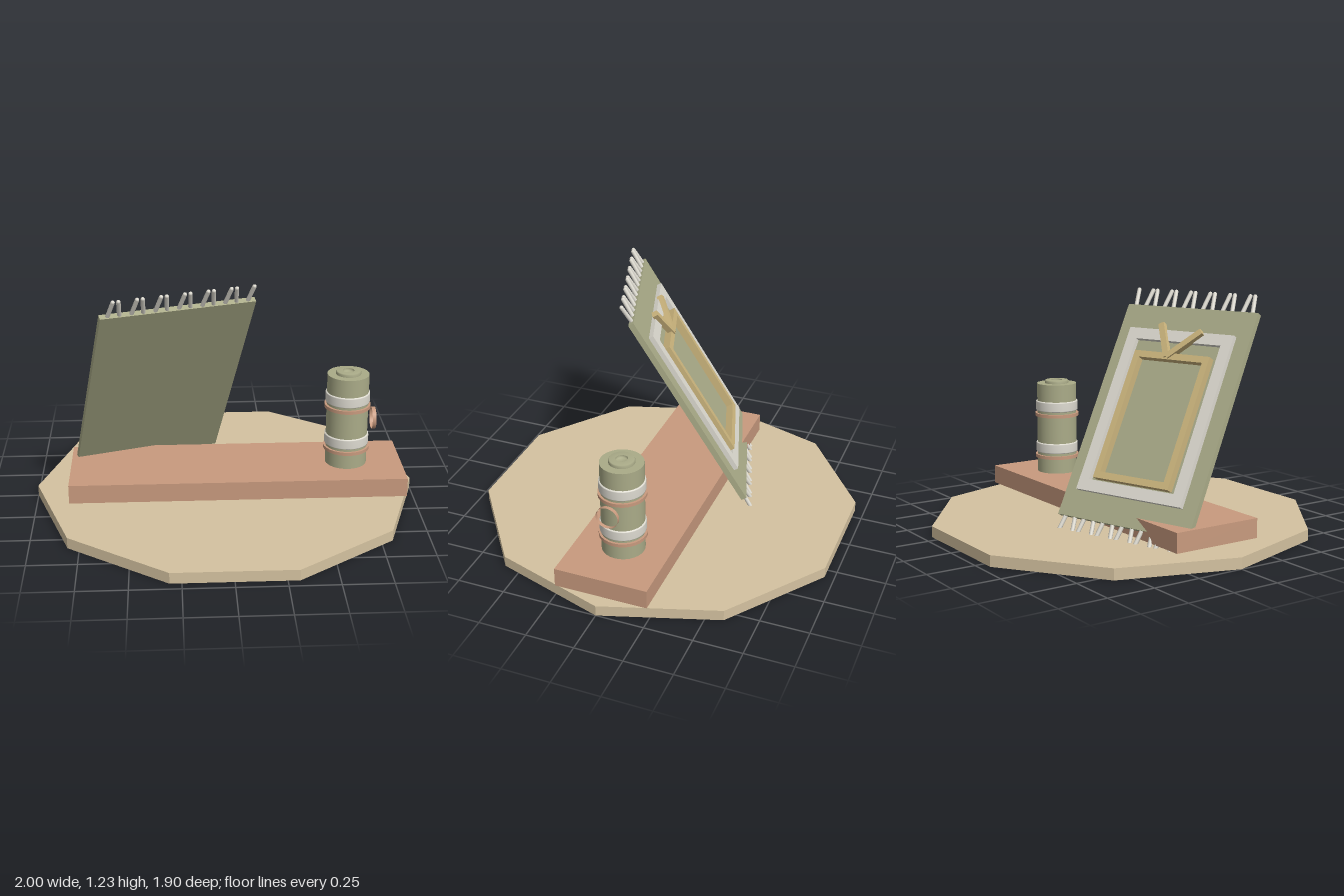
import * as THREE from 'three';

const mat = (color, extra = {}) => new THREE.MeshStandardMaterial({ color, ...extra });
const SAND = mat(0xd4c2a0, { flatShading: true });
const CLAY = mat(0xc89a7e);
const OLIVE = mat(0xaaab88);
const IVORY = mat(0xdddad0);
const STRAW = mat(0xcdb67e);
const CLAY_THIN = mat(0xc89a7e, { side: THREE.DoubleSide });

function add(parent, name, geometry, material, x = 0, y = 0, z = 0) {
  const mesh = new THREE.Mesh(geometry, material);
  mesh.name = name;
  mesh.position.set(x, y, z);
  parent.add(mesh);
  return mesh;
}

function group(parent, name) {
  const g = new THREE.Group();
  g.name = name;
  parent.add(g);
  return g;
}

const lathe = (points, sides = 28) =>
  new THREE.LatheGeometry(points.map(([r, y]) => new THREE.Vector2(r, y)), sides);

// Rectangular frame with an open middle, extruded along z from 0 to depth
function frameGeometry(w, h, border, depth) {
  const rect = (path, a, b) => path.moveTo(-a, -b).lineTo(a, -b).lineTo(a, b).lineTo(-a, b).closePath();
  const shape = rect(new THREE.Shape(), w / 2, h / 2);
  shape.holes.push(rect(new THREE.Path(), w / 2 - border, h / 2 - border));
  return new THREE.ExtrudeGeometry(shape, { depth, bevelEnabled: false });
}

function buildPanel(parent) {
  const W = 0.8, L = 1.18, T = 0.03;
  const panel = group(parent, 'leaningPanel');
  panel.position.set(-0.33, 0.625, 0);
  panel.rotation.set(Math.PI / 6, Math.PI / 10, 0, 'YXZ');
  add(panel, 'panelBoard', new THREE.BoxGeometry(W, L, T), OLIVE);

  // Frames on the back face
  add(panel, 'outerFrame', frameGeometry(0.64, 0.9, 0.06, 0.03), IVORY, 0, 0, -0.04);
  add(panel, 'innerFrame', frameGeometry(0.46, 0.7, 0.035, 0.045), STRAW, 0, -0.03, -0.055);

  // Two struts spreading from the top of the inner frame
  for (const [angle, length] of [[0.82, 0.22], [-0.49, 0.2]]) {
    const pivot = group(panel, 'strut');
    pivot.position.set(0.025, 0.3, -0.048);
    pivot.rotation.z = angle;
    add(pivot, 'strutBar', new THREE.BoxGeometry(0.032, length, 0.03), STRAW, 0, length / 2);
  }

  // Fringe of pegs leaning alternately left and right, at both ends
  const pegGeometry = new THREE.CapsuleGeometry(0.011, 0.1, 3, 8);
  for (const end of [1, -1]) {
    const fringe = group(panel, end > 0 ? 'topFringe' : 'bottomFringe');
    for (let i = 0; i < 13; i++) {
      const pivot = group(fringe, 'peg');
      pivot.position.set(-0.36 + i * 0.06, end * (L / 2 - 0.005), 0);
      pivot.rotation.z = end * (i % 2 ? 0.16 : -0.16);
      add(pivot, 'pegRod', pegGeometry, IVORY, 0, end * 0.05);
    }
  }
}

function buildJar(parent) {
  const jar = group(parent, 'jar');
  jar.position.set(0.645, 0.17, 0);
  add(jar, 'jarBody', new THREE.CylinderGeometry(0.11, 0.11, 0.5, 28), OLIVE, 0, 0.25);

  // Raised lid ring with a small recess
  add(jar, 'lid', lathe([[0.066, 0.495], [0.066, 0.512], [0.062, 0.518],
    [0.03, 0.518], [0.03, 0.518], [0.03, 0.503], [0, 0.503]]), OLIVE);

  // Pale collars, each with a clay hoop under it
  for (const y of [0.14, 0.375]) {
    add(jar, 'collar', lathe([[0.108, -0.029], [0.116, -0.026], [0.117, -0.022],
      [0.117, 0.022], [0.116, 0.026], [0.108, 0.029]]), IVORY, 0, y);
    add(jar, 'hoop', new THREE.CylinderGeometry(0.122, 0.122, 0.018, 28), CLAY, 0, y - 0.05);
  }

  // Thin open ring handle on the side
  const handle = add(jar, 'ringHandle',
    new THREE.CylinderGeometry(0.058, 0.058, 0.02, 28, 1, true), CLAY_THIN, 0.135, 0.257, 0.023);
  handle.rotation.z = Math.PI / 2;
}

export function createModel() {
  const model = new THREE.Group();
  model.name = 'displayStand';

  // Ten-sided base with corners on the x axis
  const base = add(model, 'base', new THREE.CylinderGeometry(1, 1, 0.057, 10), SAND, 0, 0.0285);
  base.rotation.y = Math.PI / 2;

  // Plank hovering just over the base
  add(model, 'plank', new THREE.BoxGeometry(1.76, 0.1, 0.485), CLAY, 0.06, 0.12, 0);

  buildPanel(model);
  buildJar(model);
  return model;
}
